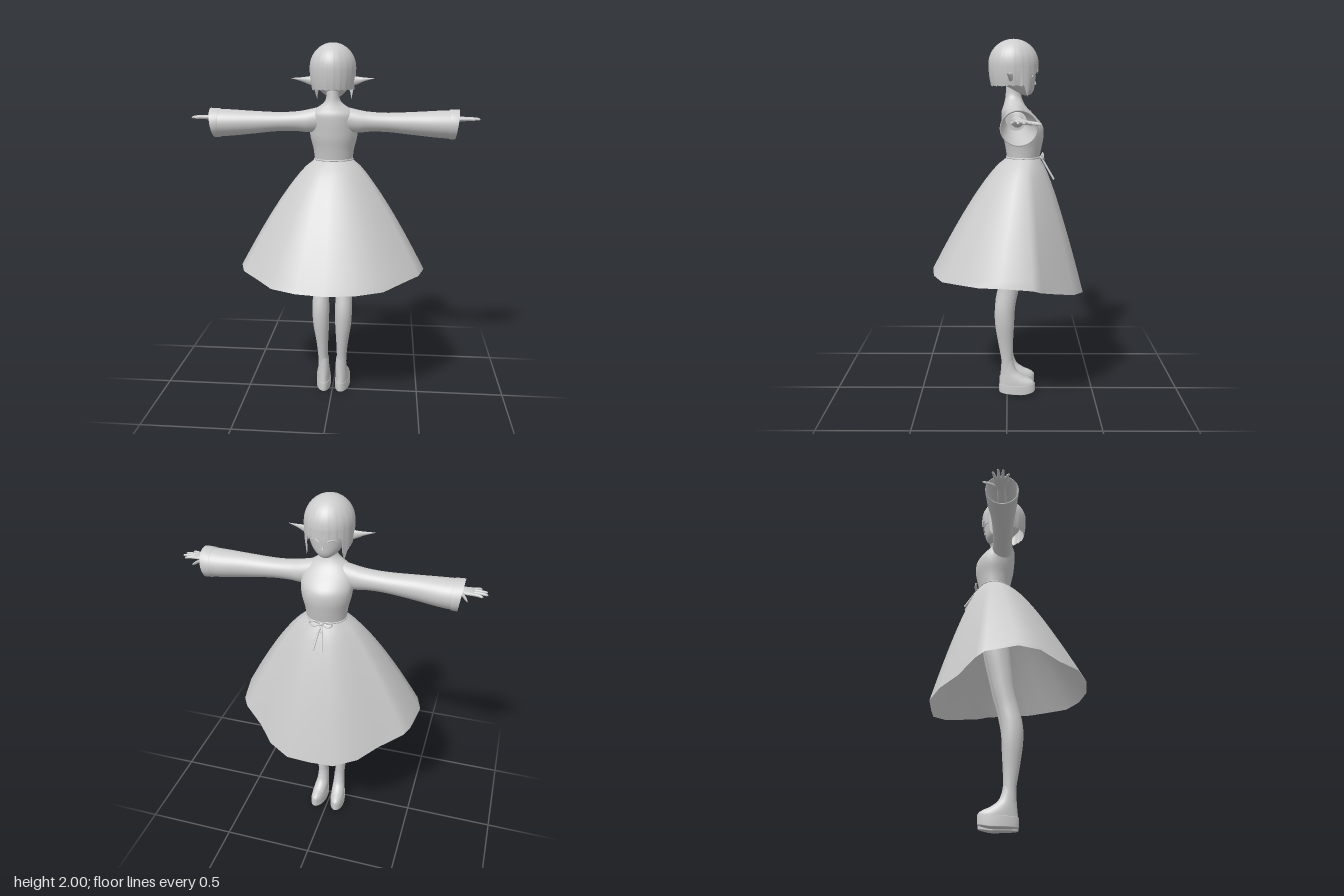
import * as THREE from 'three';

const grey = new THREE.MeshStandardMaterial({ color: 0xcccccc, side: THREE.DoubleSide });
grey.name = 'plain grey';

// Grid of points, rows x columns, closed around the columns
function skin(rows) {
  const n = rows[0].length, pos = rows.flat(2), idx = [];
  for (let i = 0; i < rows.length - 1; i++) {
    for (let j = 0; j < n; j++) {
      const a = i * n + j, b = i * n + (j + 1) % n, c = a + n, d = b + n;
      idx.push(a, c, b, b, c, d);
    }
  }
  const geo = new THREE.BufferGeometry();
  geo.setAttribute('position', new THREE.Float32BufferAttribute(pos, 3));
  geo.setIndex(idx);
  geo.computeVertexNormals();
  return geo;
}

// Elliptical sections [along, centre1, centre2, radius1, radius2], smoothed, along y or x
function loft(sections, axis = 'y', sides = 32, steps = 4, smooth = true) {
  const mid = new THREE.CatmullRomCurve3(sections.map(s => new THREE.Vector3(s[0], s[1], s[2])), false, 'catmullrom');
  const rad = new THREE.CatmullRomCurve3(sections.map(s => new THREE.Vector3(s[3], s[4], 0)), false, 'catmullrom');
  const count = smooth ? (sections.length - 1) * steps : sections.length - 1;
  const rows = [];
  for (let i = 0; i <= count; i++) {
    const c = mid.getPoint(i / count), r = rad.getPoint(i / count), row = [];
    for (let j = 0; j < sides; j++) {
      const a = j / sides * Math.PI * 2 * (axis === 'y' ? -1 : 1);
      const u = c.y + Math.cos(a) * Math.max(r.x, 0.0005), v = c.z + Math.sin(a) * Math.max(r.y, 0.0005);
      row.push(axis === 'y' ? [u, c.x, v] : [c.x, u, v]);
    }
    rows.push(axis === 'y' ? row : row.reverse());
  }
  if (axis === 'y') rows.reverse();
  return skin(rows.map(r => axis === 'y' ? r.slice().reverse() : r));
}

// Tapered strand through points
function strand(points, radius) {
  return new THREE.TubeGeometry(new THREE.CatmullRomCurve3(points.map(p => new THREE.Vector3(...p))), 14, radius, 8, false);
}

function mirrored(geo) {
  const g = geo.clone().scale(-1, 1, 1), k = g.index.array;
  for (let i = 0; i < k.length; i += 3) [k[i], k[i + 1]] = [k[i + 1], k[i]];
  g.computeVertexNormals();
  return g;
}

// Skirt flaring from an oval waist to an uneven hem
function skirtGeometry() {
  const half = [[0, .63, -.422], [.13, .635, -.42], [.25, .657, -.36], [.34, .69, -.265], [.46, .735, -.175],
    [.49, .755, -.13], [.515, .775, .03], [.483, .768, .137], [.385, .752, .235], [.295, .742, .342],
    [.16, .738, .40], [0, .736, .422]];
  const hem = [...half, ...half.slice(1, -1).reverse().map(([x, y, z]) => [-x, y, z])];
  const rows = [];
  for (let i = 0; i <= 16; i++) {
    const h = i / 16, f = h ** 0.77;
    rows.push(hem.map(([x, y, z], j) => {
      const a = j / hem.length * Math.PI * 2;
      const wx = .105 * Math.sin(a), wz = -.088 - .088 * Math.cos(a);
      return [wx + (x - wx) * f, 1.372 + (y - 1.372) * h, wz + (z - wz) * f];
    }).reverse());
  }
  return skin(rows);
}

// Bobbed hair: a dome with a jagged lower edge, short fringe and two long locks
function hairGeometry() {
  const n = 144, rows = [];
  for (let i = 0; i <= 20; i++) {
    const row = [];
    for (let j = 0; j < n; j++) {
      const a = j / n * Math.PI * 2;
      const d = Math.abs(Math.atan2(Math.sin(a), Math.cos(a))) * 180 / Math.PI;
      const tooth = (j * 7 / 48) % 1;
      let low = 1.752 + .008 * tooth;
      if (d < 47) low = 1.80 + .035 * tooth + .0004 * (47 - d);
      else if (d < 63) low = 1.70 + .006 * Math.abs(d - 55);
      const q = i / 20;
      const y = q < .5 ? 1.87 + .13 * Math.cos(q * Math.PI) : 1.87 + (low - 1.87) * (q - .5) * 2;
      const t = (y - 1.87) / .13;
      let r = t > 0 ? Math.sqrt(Math.max(0, 1 - t * t)) : 1 - (d > 70 ? .13 : .04) * t * t;
      r *= 1 - .02 * q * tooth;
      row.push([.125 * r * Math.sin(a), y, -.034 - .135 * r * Math.cos(a)]);
    }
    rows.push(row.reverse());
  }
  return skin(rows);
}

export function createModel() {
  const model = new THREE.Group();
  model.name = 'girl in dress';
  const add = (name, geo) => {
    const mesh = new THREE.Mesh(geo, grey);
    mesh.name = name;
    model.add(mesh);
  };
  const pair = (name, geo) => {
    add(name + 'Left', geo);
    add(name + 'Right', mirrored(geo));
  };

  // Head
  add('head', loft([[1.703, 0, -.105, .004, .004], [1.712, 0, -.1, .03, .03], [1.735, 0, -.082, .06, .062],
    [1.775, 0, -.06, .088, .09], [1.83, 0, -.042, .105, .112], [1.9, 0, -.036, .102, .112],
    [1.95, 0, -.034, .075, .085], [1.98, 0, -.034, .01, .01]]));
  add('hair', hairGeometry());
  add('nose', new THREE.ConeGeometry(.008, .025, 8).translate(0, 1.775, -.15));
  pair('ear', loft([[.09, 1.80, -.02, .03, .018], [.13, 1.803, -.018, .021, .012],
    [.17, 1.809, -.01, .01, .007], [.222, 1.815, 0, .001, .001]], 'x', 12));
  pair('eyelid', strand([[.022, 1.803, -.152], [.042, 1.812, -.145], [.065, 1.803, -.131]], .003));

  // Bodice and neck
  add('bodice', loft([[1.365, 0, -.088, .105, .088], [1.43, 0, -.09, .114, .1], [1.49, 0, -.089, .129, .111],
    [1.54, 0, -.084, .135, .111], [1.58, 0, -.068, .135, .098], [1.62, 0, -.048, .128, .078],
    [1.65, 0, -.04, .1, .06], [1.68, 0, -.036, .056, .048], [1.71, 0, -.034, .037, .042], [1.77, 0, -.036, .036, .04]]));
  add('skirt', skirtGeometry());

  // Sleeves with a slanted open cuff
  const sleeve = loft([[.07, 1.595, -.045, .068, .055], [.14, 1.585, -.045, .062, .058], [.2, 1.583, -.045, .054, .055],
    [.3, 1.58, -.045, .052, .056], [.45, 1.575, -.047, .063, .065], [.56, 1.572, -.052, .072, .078],
    [.632, 1.571, -.054, .076, .082]], 'x');
  pair('sleeve', sleeve);
  const cuff = loft([[.628, 1.571, -.054, .074, .08], [.632, 1.571, -.054, .079, .084], [.672, 1.571, -.055, .081, .086],
    [.672, 1.571, -.055, .076, .081], [.62, 1.571, -.054, .071, .077]], 'x', 32, 1, false);
  const cp = cuff.attributes.position;
  for (let i = 0; i < cp.count; i++) if (cp.getX(i) > .65) cp.setX(i, cp.getX(i) + (cp.getY(i) - 1.571) * .13);
  cuff.computeVertexNormals();
  pair('cuff', cuff);

  // Hands
  pair('forearm', loft([[.45, 1.59, -.05, .03, .03], [.6, 1.597, -.055, .021, .022], [.655, 1.6, -.058, .016, .022],
    [.69, 1.6, -.062, .013, .036], [.72, 1.6, -.062, .011, .038], [.732, 1.6, -.062, .004, .03]], 'x', 16));
  [[.776, -.102], [.797, -.076], [.793, -.05], [.765, -.022]].forEach(([tip, z], i) => {
    const root = -.089 + i * .018;
    pair('finger' + (i + 1), loft([[.71, 1.6, root, .008, .009], [(tip + .72) / 2, 1.601, (root + z) / 2, .008, .008],
      [tip - .008, 1.599, z, .006, .006], [tip, 1.598, z, .001, .001]], 'x', 8));
  });
  pair('thumb', loft([[.665, 1.597, -.075, .01, .014], [.69, 1.594, -.118, .009, .012],
    [.703, 1.592, -.142, .007, .008], [.708, 1.591, -.156, .001, .001]], 'x', 8));

  // Legs
  pair('leg', loft([[.12, .055, -.004, .028, .034], [.2, .055, 0, .028, .033], [.3, .058, .008, .034, .042],
    [.42, .064, .014, .046, .054], [.52, .066, .012, .049, .057], [.62, .065, -.008, .046, .056],
    [.7, .063, -.028, .05, .058], [.8, .063, -.045, .055, .064], [1.0, .065, -.075, .062, .075], [1.25, .055, -.088, .055, .075]]));

  // Platform shoes with a lifted toe
  const lift = geo => {
    const p = geo.attributes.position;
    for (let i = 0; i < p.count; i++) {
      const z = p.getZ(i);
      p.setX(i, p.getX(i) - (z + .05) * .08);
      if (z < -.1) p.setY(i, p.getY(i) + (-.1 - z) * .2);
    }
    geo.computeVertexNormals();
    return geo;
  };
  pair('sole', lift(loft([[0, .057, -.058, .001, .001], [0, .057, -.058, .042, .102], [.003, .057, -.058, .043, .104],
    [.05, .057, -.058, .043, .104], [.053, .057, -.058, .041, .1], [.053, .057, -.058, .001, .001]], 'y', 32, 1, false)));
  pair('shoeUpper', lift(loft([[.045, .057, -.058, .041, .1], [.06, .057, -.057, .041, .098], [.078, .057, -.048, .04, .087],
    [.1, .056, -.032, .038, .069], [.13, .055, -.013, .034, .048], [.17, .055, -.004, .031, .038], [.205, .055, -.001, .029, .034]])));

  // Waist ribbon tied in a bow
  add('waistband', new THREE.TorusGeometry(.1, .005, 8, 48).rotateX(Math.PI / 2).scale(1.06, 1, .9).translate(0, 1.372, -.088));
  add('bowKnot', new THREE.SphereGeometry(.011, 12, 8).translate(0, 1.37, -.188));
  pair('bowLoop', strand([[0, 1.37, -.188], [.035, 1.39, -.198], [.062, 1.378, -.195], [.04, 1.362, -.2], [0, 1.37, -.188]], .0045));
  pair('bowTail', strand([[0, 1.37, -.188], [.012, 1.32, -.217], [.024, 1.25, -.258]], .0055));
  return model;
}
